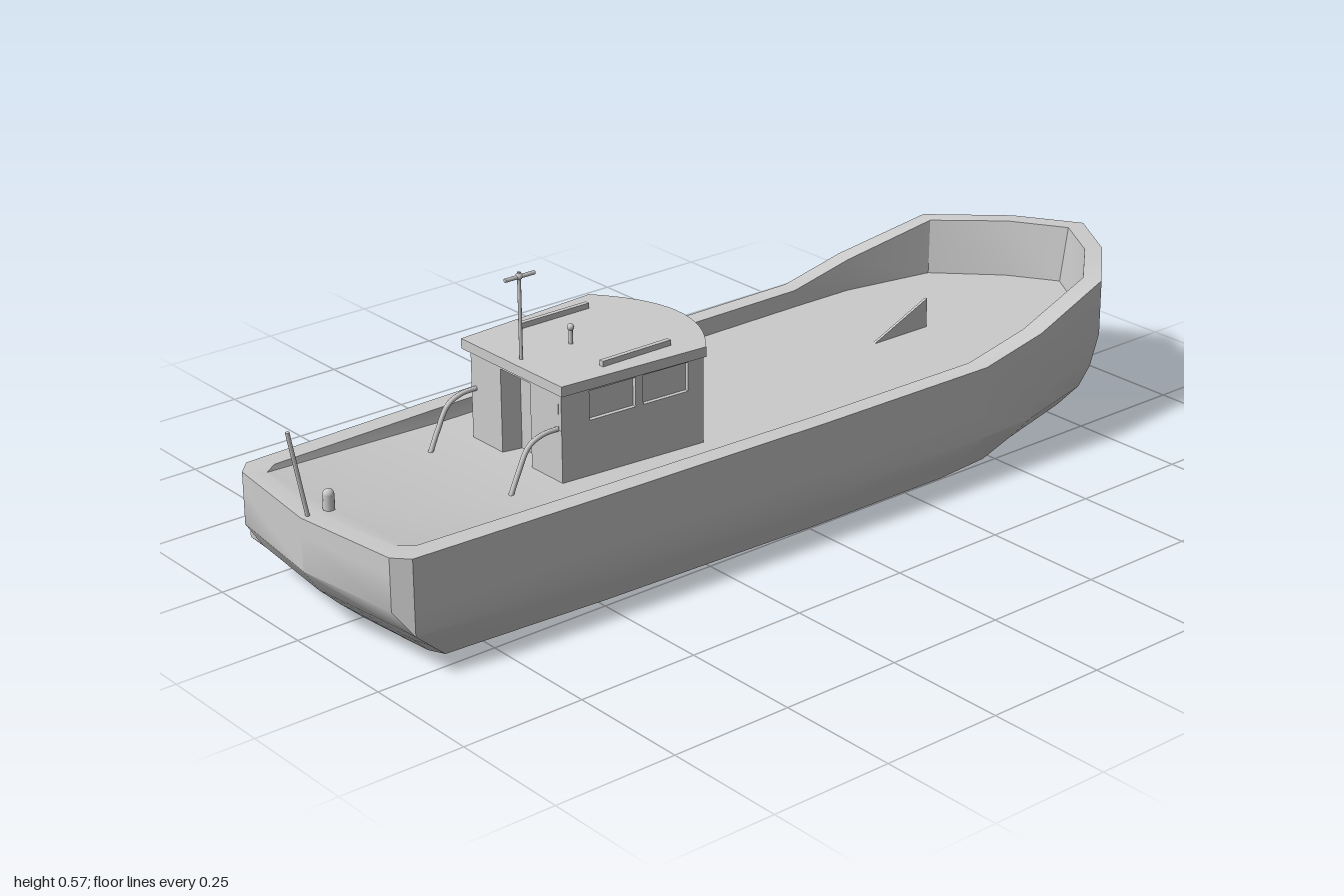
import * as THREE from 'three';
import { toCreasedNormals } from 'three/addons/utils/BufferGeometryUtils.js';

const material = new THREE.MeshStandardMaterial({ color: 0xcccccc, side: THREE.DoubleSide });

function add(parent, name, geometry) {
  const mesh = new THREE.Mesh(geometry, material);
  mesh.name = name;
  parent.add(mesh);
  return mesh;
}

// Mirrors a half ring (bow to stern on +x) into a closed ring
function closeRing(half) {
  const other = half.slice(1, -1).reverse().map(([x, y, z]) => [-x, y, z]);
  return [...half, ...other];
}

// Skins a stack of closed rings of equal length
function loft(rings, crease) {
  const pos = [];
  for (let r = 0; r < rings.length - 1; r++) {
    const a = rings[r], b = rings[r + 1], n = a.length;
    for (let i = 0; i < n; i++) {
      const j = (i + 1) % n;
      for (const p of [a[i], b[i], b[j], a[i], b[j], a[j]]) pos.push(...p);
    }
  }
  const g = new THREE.BufferGeometry();
  g.setAttribute('position', new THREE.Float32BufferAttribute(pos, 3));
  return toCreasedNormals(g, crease);
}

function hullGeometry() {
  // Half outlines from bow tip to stern centre: [x, z]
  const bottom = [[0, -.86], [.09, -.8], [.17, -.67], [.235, -.48], [.247, -.35],
    [.247, 0], [.232, .48], [.212, .83], [.18, .845], [0, .86]];
  const outer = [[0, -1], [.13, -.92], [.26, -.78], [.297, -.57], [.297, -.42],
    [.293, 0], [.278, .5], [.262, .925], [.232, .953], [0, .98]];
  const inner = [[0, -.955], [.112, -.887], [.223, -.765], [.257, -.56], [.257, -.41],
    [.254, 0], [.238, .5], [.222, .89], [.2, .92], [0, .95]];
  const deck = [[0, -.935], [.1, -.872], [.217, -.757], [.253, -.556], [.254, -.41],
    [.25, 0], [.234, .5], [.218, .885], [.197, .915], [0, .945]];
  const railY = [.316, .316, .316, .267, .235, .235, .235, .235, .235, .235];
  const deckY = [.2, .2, .2, .2, .2, .2, .207, .225, .234, .235];
  // Height, then how far bow, side and transom have flared out
  const levels = [[0, 0, 0, 0], [.045, .45, .53, .42], [.085, .74, 1, .76],
    [.13, .89, 1, 1], [.2, 1, 1, 1]];
  const at = (line, ys) => line.map(([x, z], i) => [x, ys[i], z]);
  const halves = levels.map(([y, bow, side, stern]) => outer.map(([x, z], i) => {
    const f = i < 3 ? bow : i === 3 ? (bow + side) / 2 : i < 8 ? side : stern;
    const [bx, bz] = bottom[i];
    return [bx + (x - bx) * f, y, bz + (z - bz) * f];
  }));
  halves.push(at(outer, railY), at(inner, railY), at(deck, deckY));
  // Close bottom and deck along the centre line
  const flat = (half) => half.map(([, y, z]) => [0, y, z]);
  halves.unshift(flat(halves[0]));
  halves.push(flat(halves[halves.length - 1]));
  return loft(halves.map(closeRing), 0.55);
}

// Plan with straight back, flared sides and bowed front; optional door recess
function housePlan(wAft, zAft, wFront, zCorner, zMid, door) {
  const s = new THREE.Shape();
  s.moveTo(-wAft, zAft);
  s.lineTo(-wFront, zCorner);
  s.quadraticCurveTo(0, 2 * zMid - zCorner, wFront, zCorner);
  s.lineTo(wAft, zAft);
  if (door) {
    s.lineTo(.045, zAft);
    s.lineTo(.038, zAft - .04);
    s.lineTo(-.038, zAft - .04);
    s.lineTo(-.045, zAft);
  }
  s.closePath();
  return s;
}

function slab(shape, y0, y1) {
  const g = new THREE.ExtrudeGeometry(shape, { depth: y1 - y0, bevelEnabled: false, curveSegments: 16 });
  g.rotateX(Math.PI / 2).translate(0, y1, 0);
  return toCreasedNormals(g, 0.5);
}

function rod(parent, name, a, b, r) {
  const from = new THREE.Vector3(...a), to = new THREE.Vector3(...b);
  const dir = to.clone().sub(from);
  const mesh = add(parent, name, new THREE.CylinderGeometry(r, r, dir.length(), 10));
  mesh.position.copy(from).add(to).multiplyScalar(.5);
  mesh.quaternion.setFromUnitVectors(new THREE.Vector3(0, 1, 0), dir.normalize());
  return mesh;
}

function ball(parent, name, r, x, y, z) {
  add(parent, name, new THREE.SphereGeometry(r, 12, 8)).position.set(x, y, z);
}

function rect(path, x0, y0, x1, y1) {
  path.moveTo(x0, y0);
  path.lineTo(x1, y0);
  path.lineTo(x1, y1);
  path.lineTo(x0, y1);
  path.closePath();
  return path;
}

function wheelhouse() {
  const g = new THREE.Group();
  g.name = 'wheelhouse';
  add(g, 'lowerWalls', slab(housePlan(.137, .505, .155, .185, .15, true), .19, .31));
  add(g, 'windowBand', slab(housePlan(.128, .505, .146, .193, .163, true), .31, .375));
  add(g, 'lintel', slab(housePlan(.128, .505, .146, .193, .163, false), .375, .387));
  add(g, 'roof', slab(housePlan(.152, .515, .175, .195, .12, false), .385, .405));

  // Side panels with two window openings each
  const dx = .018, dz = .32, len = Math.hypot(dx, dz);
  for (const side of [1, -1]) {
    const panel = rect(new THREE.Shape(), 0, .31, len, .386);
    for (const [a, b] of [[.062, .165], [.182, .285]]) {
      const [s0, s1] = side > 0 ? [a, b] : [len - b, len - a];
      panel.holes.push(rect(new THREE.Path(), s0, .316, s1, .374));
    }
    const geo = new THREE.ExtrudeGeometry(panel, { depth: .01, bevelEnabled: false });
    geo.translate(0, 0, -.01);
    const mesh = add(g, 'sideWindowPanel', geo);
    mesh.rotation.y = Math.atan2(side * dz, dx);
    mesh.position.set(side > 0 ? .137 : -.155, 0, side > 0 ? .505 : .185);

    // Curved handrail at the back and grab rail on the roof
    const curve = new THREE.CatmullRomCurve3([[.615, .205], [.595, .25], [.57, .295], [.54, .309], [.5, .311]]
      .map(([z, y]) => new THREE.Vector3(side * .124, y, z)));
    add(g, 'handrail', new THREE.TubeGeometry(curve, 20, .005, 8));
    add(g, 'roofRail', new THREE.BoxGeometry(.01, .012, .16)).position.set(side * .122, .41, .32);
  }

  // Mast and short roof post
  rod(g, 'mast', [0, .4, .49], [0, .575, .49], .0035);
  rod(g, 'mastCrossbar', [0, .566, .455], [0, .566, .522], .004);
  ball(g, 'mastTop', .007, 0, .567, .49);
  rod(g, 'roofPost', [0, .4, .375], [0, .437, .375], .004);
  ball(g, 'roofPostTop', .007, 0, .438, .375);
  return g;
}

export function createModel() {
  const boat = new THREE.Group();
  boat.name = 'boat';
  add(boat, 'hull', hullGeometry());
  boat.add(wheelhouse());

  // Stern fittings
  rod(boat, 'sternPole', [0, .22, .962], [0, .404, .997], .004);
  rod(boat, 'bollard', [0, .21, .92], [0, .263, .92], .011);
  ball(boat, 'bollardTop', .011, 0, .263, .92);

  // Thin triangular fin on the foredeck
  const fin = new THREE.Shape();
  fin.moveTo(.39, .198);
  fin.lineTo(.54, .198);
  fin.lineTo(.54, .262);
  fin.closePath();
  const finGeo = new THREE.ExtrudeGeometry(fin, { depth: .006, bevelEnabled: false });
  finGeo.translate(0, 0, -.003).rotateY(Math.PI / 2);
  add(boat, 'foredeckFin', finGeo);
  return boat;
}
